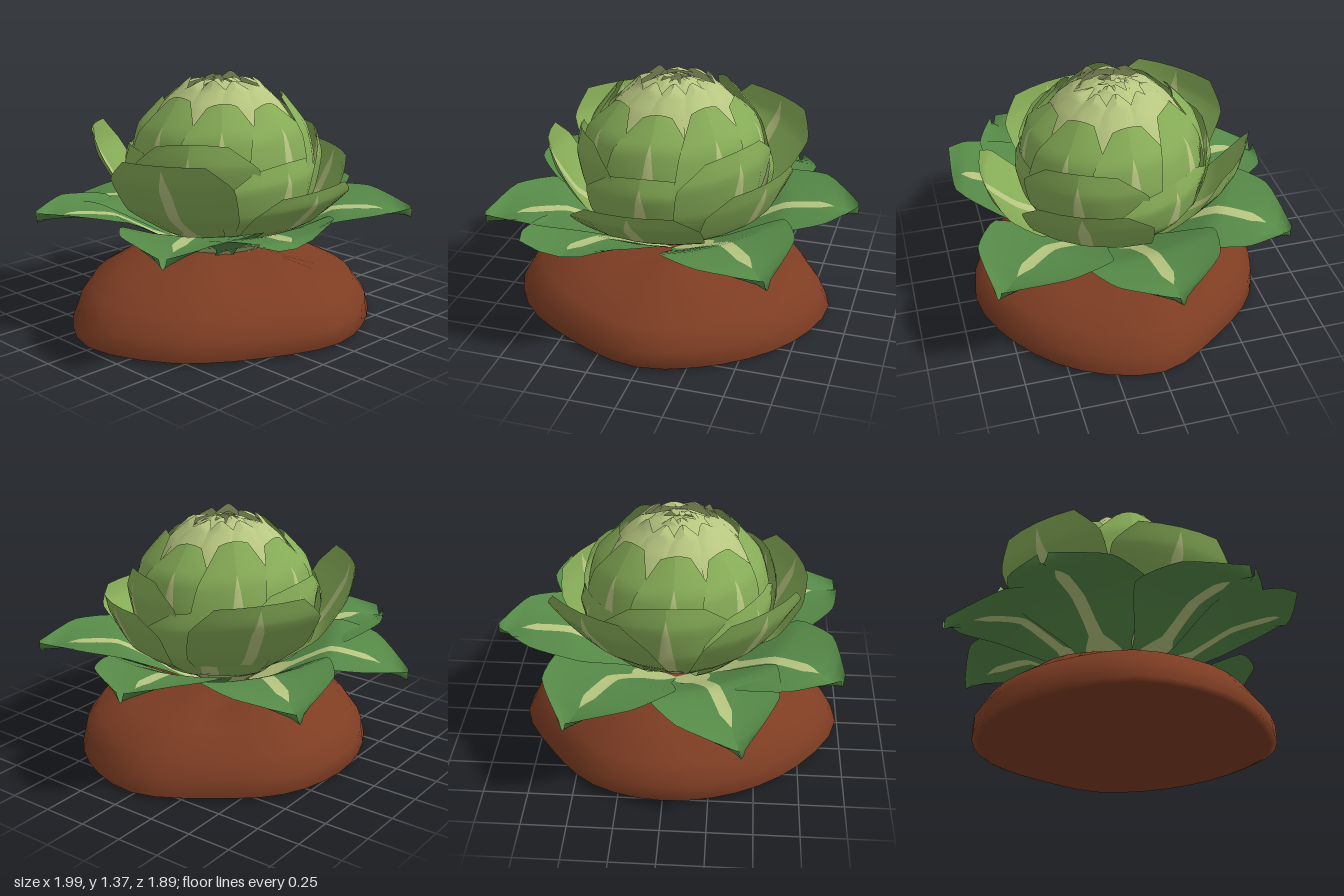
import * as THREE from 'three';

const mat = (name, color, side = THREE.DoubleSide) => {
  const m = new THREE.MeshStandardMaterial({ color, side });
  m.name = name;
  return m;
};

// Curved leaf. profile rows are [radius, height, half width] from base to tip.
// Group 0 is the blade, group 1 the pale base and midrib.
function leafGeometry(profile, options) {
  const { cup = 1, lift = 0, notch = 0, twist = 0, skew = 0, fold = 0,
    rib = 0.036, ribRows = 13, taperRows = 2 } = options;
  const rows = 16, cols = 6;
  const curve = new THREE.CatmullRomCurve3(profile.map(p => new THREE.Vector3(...p)), false, 'catmullrom', 0.25);
  const pos = [], blade = [], pale = [];
  for (let j = 0; j <= rows; j++) {
    const t = j / rows;
    const { x: r, y, z: w } = curve.getPoint(t);
    const taper = Math.max(0, Math.min(1, (ribRows - j) / taperRows));
    const m = Math.min(0.9 * w, Math.max(0.9 * w * (1 - (t / 0.35) ** 2), rib * taper));
    for (const x of [-w, -(w + m) / 2, -m, m, (w + m) / 2, w]) {
      const s = w > 0 ? (x / w) ** 2 : 0;
      const bow = r - Math.sqrt(Math.max(0, r * r - x * x));
      pos.push(x, y + lift * s * t - notch * s * t * t + twist * x * t - fold * Math.abs(x) * t,
        r - cup * bow - twist * x - skew * x * t * t);
    }
  }
  for (let j = 0; j < rows; j++) {
    for (let i = 0; i < cols - 1; i++) {
      if (i === 2 && j >= ribRows) continue; // the centre lines meet beyond the rib
      const a = j * cols + i, b = a + 1, c = a + cols, d = c + 1;
      (i === 2 || j === 0 ? pale : blade).push(a, b, d, a, d, c);
    }
  }
  const g = new THREE.BufferGeometry();
  g.setAttribute('position', new THREE.Float32BufferAttribute(pos, 3));
  g.setIndex([...blade, ...pale]);
  g.addGroup(0, blade.length, 0);
  g.addGroup(blade.length, pale.length, 1);
  g.computeVertexNormals();
  return g;
}

// Irregular soil mound made of stacked rings of [scale, height]
function moundGeometry() {
  const radii = [0.9, 0.86, 0.86, 0.87, 0.77, 0.78, 0.78, 0.8, 0.87, 0.99, 0.94, 0.87];
  const outline = new THREE.CatmullRomCurve3(radii.map((r, i) => {
    const a = i * Math.PI / 6;
    return new THREE.Vector3(r * Math.sin(a), 0, r * Math.cos(a));
  }), true);
  const rings = [[0.001, 0], [0.95, 0], [0.96, 0], [1, 0.015], [0.945, 0.11], [0.86, 0.21],
    [0.68, 0.285], [0.44, 0.355], [0.25, 0.38], [0.001, 0.38]];
  const n = 36, pos = [], idx = [];
  rings.forEach(([s, y], j) => {
    for (let i = 0; i < n; i++) {
      const p = outline.getPoint(i / n);
      const a = Math.atan2(p.x, p.z);
      // steeper at front and back, higher at the back, lower on the left
      const wall = y > 0.1 && y < 0.25 ? 0.05 * Math.cos(a) ** 2 : 0;
      const bump = y > 0.25 && s > 0.3
        ? 0.05 * Math.max(0, -Math.cos(a)) - (s < 0.5 ? 0.045 : 0) * Math.max(0, Math.sin(a)) + 0.01 * Math.sin(5 * a + j)
        : 0;
      pos.push(p.x * (s + wall), y + bump, p.z * (s + wall));
      if (j < rings.length - 1) {
        const b = j * n + i, c = j * n + (i + 1) % n;
        idx.push(b, c, c + n, b, c + n, b + n);
      }
    }
  });
  const g = new THREE.BufferGeometry();
  g.setAttribute('position', new THREE.Float32BufferAttribute(pos, 3));
  g.setIndex(idx);
  g.computeVertexNormals();
  return g;
}

export function createModel() {
  const model = new THREE.Group();
  model.name = 'leafyPlant';
  const soil = mat('soil brown', 0x7e3d23);
  const dark = mat('outer leaf green', 0x568a48);
  const green = mat('head leaf green', 0x86ac57);
  const pale = mat('pale rib green', 0xb7c680);

  const mound = new THREE.Mesh(moundGeometry(), soil);
  mound.name = 'soilMound';
  model.add(mound);

  const plant = new THREE.Group();
  plant.name = 'plant';
  plant.position.set(-0.04, 0, 0.05);
  model.add(plant);

  const addLeaf = (name, degrees, profile, blade, options) => {
    const leaf = new THREE.Mesh(leafGeometry(profile, options), [blade, pale]);
    leaf.name = name;
    leaf.rotation.y = THREE.MathUtils.degToRad(degrees);
    plant.add(leaf);
  };

  // Spreading pointed outer leaves: angle, length, tip height, tip half width, skew
  [[96, 1.04, 0.6, 0.02, 0], [42, 1.07, 0.57, 0.02, 0], [-22, 0.95, 0.64, 0.22, 0.3], [-60, 1.08, 0.58, 0.02, 0],
    [-119, 1.05, 0.6, 0.03, 0], [-159, 1.07, 0.47, 0.02, 0], [148, 1.05, 0.52, 0.02, 0]]
    .forEach(([angle, len, tipY, tipW, skew]) => addLeaf('outerLeaf', angle, [
      [0.12, 0.36, 0.09], [0.34, 0.465, 0.18], [0.62, 0.615, 0.38],
      [0.87, 0.34 + tipY * 0.5, 0.29], [len, tipY, tipW],
    ], dark, { cup: 0.25, lift: 0.06, twist: 0.05, skew }));

  // Open cupped leaves around the head: angle, tip radius, tip height
  [[-3, 0.75, 0.85], [62, 0.68, 0.93], [-71, 0.71, 1.0], [-137, 0.73, 1.08], [141, 0.76, 1.07]]
    .forEach(([angle, r, top]) => {
      const h = top - 0.4;
      addLeaf('cuppedLeaf', angle, [
        [0.12, 0.4, 0.08], [0.34, 0.4 + h * 0.2, 0.2], [0.56, 0.4 + h * 0.46, 0.33],
        [r * 0.96, 0.4 + h * 0.8, 0.36], [r, top, 0.24],
      ], green, { cup: 0.8, twist: 0.03, rib: 0.034, ribRows: 15, taperRows: 4 });
    });

  // Lower wrapped head leaves
  for (let i = 0; i < 6; i++) {
    const top = [0.96, 1.08, 0.95, 1.06, 1.0, 1.08][i], h = top - 0.41;
    addLeaf('lowerHeadLeaf', i * 60 - 4, [
      [0.13, 0.41, 0.09], [0.38, 0.41 + h * 0.22, 0.24], [0.51, 0.41 + h * 0.48, 0.34],
      [0.55, 0.41 + h * 0.8, 0.35], [0.52, top, 0.2],
    ], green, { notch: 0.02, twist: 0.05, rib: 0.045, ribRows: 14, taperRows: 6 });
  }

  // Upper wrapped head leaves
  for (let i = 0; i < 8; i++) {
    const top = 1.25 + 0.05 * ((i * 0.618) % 1);
    addLeaf('upperHeadLeaf', i * 45, [
      [0.2, 0.45, 0.1], [0.45, 0.65, 0.22], [0.515, 0.9, 0.26],
      [0.47, 1.1, 0.21], [0.33, top, 0.08],
    ], green, { notch: 0.02, twist: 0.06, rib: 0.04, taperRows: 5 });
  }

  // Pale crown: closing folded leaves with small raised tips
  for (let i = 0; i < 10; i++) {
    const v = (i * 0.618) % 1;
    addLeaf('crownLeaf', i * 36 + 12, [
      [0.38, 0.95, 0.16], [0.4, 1.1, 0.17], [0.31, 1.24, 0.13],
      [0.22, 1.325, 0.08], [0.11 + 0.09 * v, 1.345 + 0.025 * v, 0.015],
    ], pale, { twist: 0.12, fold: 0.35 });
  }
  for (let i = 0; i < 8; i++) {
    const v = (i * 0.618) % 1;
    addLeaf('heartLeaf', i * 45 + 20 * v, [
      [0.26, 1.2, 0.1], [0.18, 1.3, 0.09], [0.11, 1.34, 0.055], [0.02 + 0.06 * v, 1.34 + 0.03 * v, 0.015],
    ], pale, { twist: 0.2, fold: 0.4 });
  }

  // Solid heart filling the gaps between the leaves
  const heart = new THREE.Mesh(new THREE.LatheGeometry(
    [[0, 0.355], [0.11, 0.36], [0.28, 0.48], [0.41, 0.65], [0.44, 0.9], [0.37, 1.1], [0.25, 1.22], [0, 1.3]]
      .map(p => new THREE.Vector2(...p)), 20), pale);
  heart.name = 'heart';
  plant.add(heart);

  return model;
}
